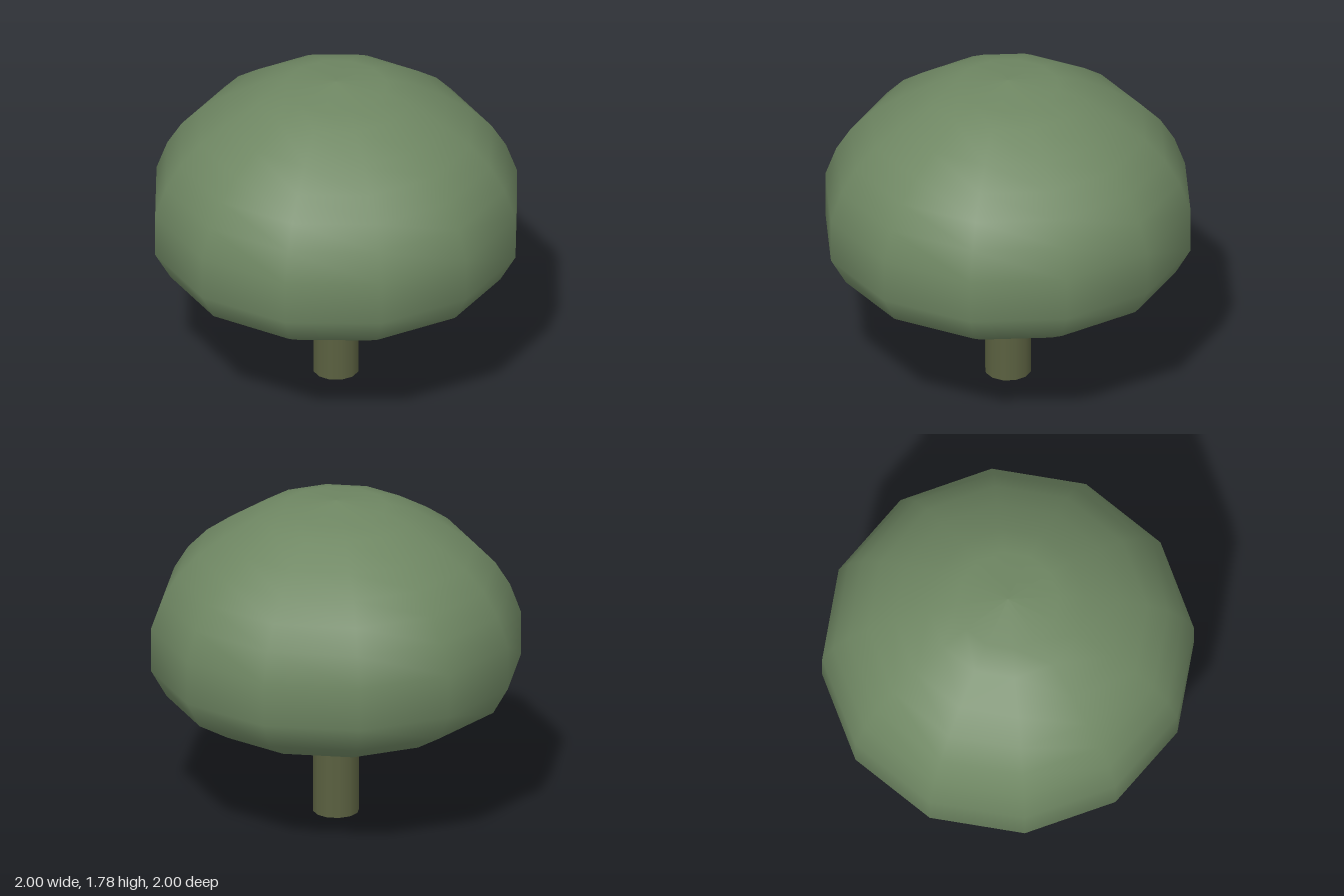
import * as THREE from 'three';

export function createModel() {
  const tree = new THREE.Group();
  tree.name = 'tree';
  const SIDES = 12;

  // Trunk: plain cylinder, its top buried in the crown
  const trunk = new THREE.Mesh(
    new THREE.CylinderGeometry(0.125, 0.125, 0.6, SIDES),
    new THREE.MeshStandardMaterial({ color: 0x5a6040 })
  );
  trunk.name = 'trunk';
  trunk.position.y = 0.3;
  tree.add(trunk);

  // Crown: twelve-sided dome with a shallow underside, (radius, height) from bottom to top
  const profile = [
    [0, 0.475], [0.1, 0.478], [0.42, 0.5], [0.73, 0.59], [0.915, 0.7],
    [1, 0.85], [1, 1.09], [0.94, 1.255], [0.86, 1.385], [0.75, 1.5],
    [0.61, 1.6], [0.425, 1.71], [0.275, 1.755], [0, 1.785],
  ].map(([r, y]) => new THREE.Vector2(r, y));
  const crown = new THREE.Mesh(
    new THREE.LatheGeometry(profile, SIDES),
    new THREE.MeshStandardMaterial({ color: 0x6f8763 })
  );
  crown.name = 'crown';
  tree.add(crown);

  return tree;
}
